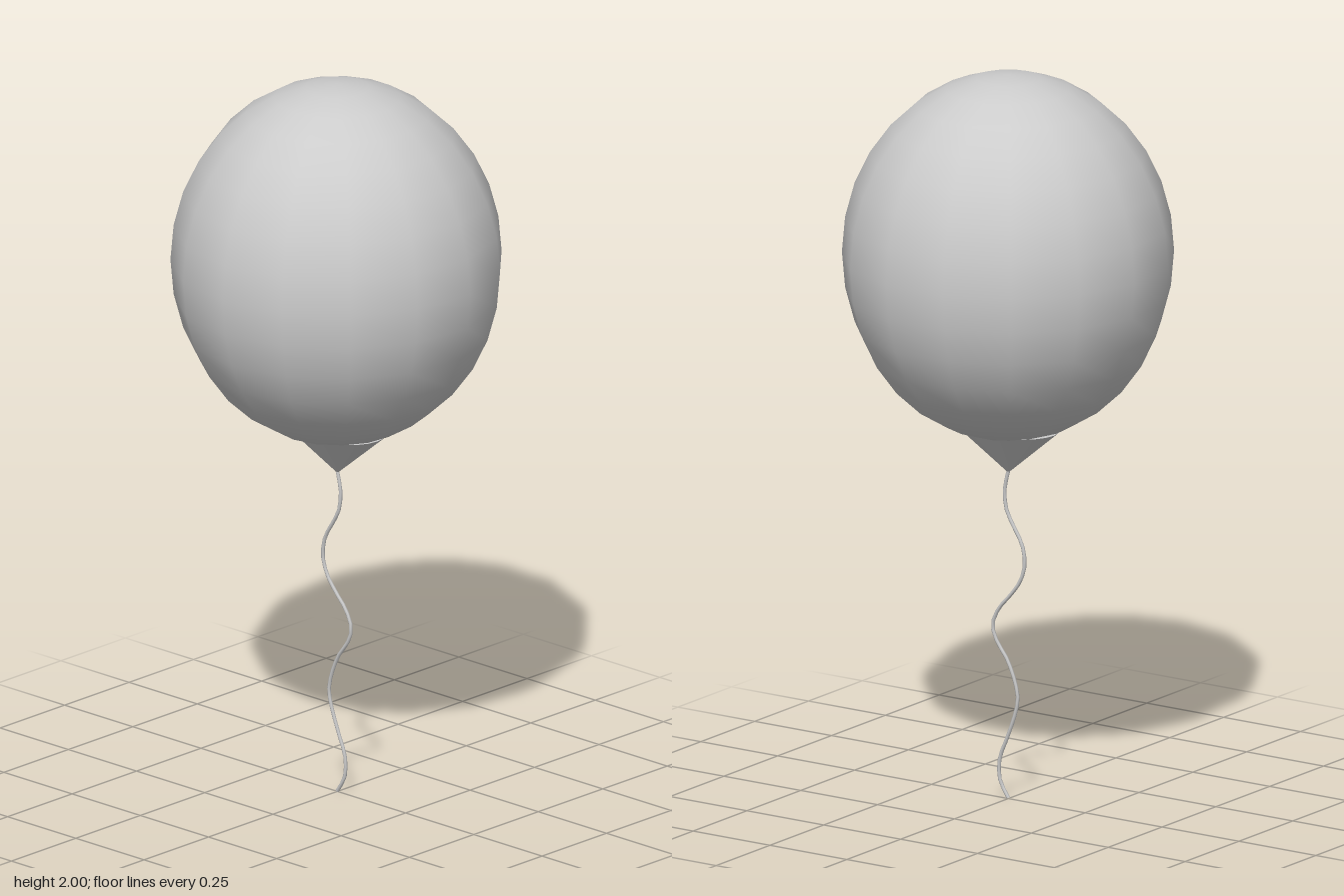
import * as THREE from 'three';

export function createModel() {
  const group = new THREE.Group();
  const grey = new THREE.MeshStandardMaterial({ color: 0xcccccc });
  const add = (name, geometry) => {
    const mesh = new THREE.Mesh(geometry, grey);
    mesh.name = name;
    group.add(mesh);
    return mesh;
  };

  // Egg-round body: 15 sides with a corner at the back
  const body = add('balloonBody', new THREE.SphereGeometry(1, 15, 16));
  body.geometry.rotateY(Math.PI / 2);
  body.geometry.scale(0.445, 0.5, 0.445);
  body.position.y = 1.5;

  // Oval neck, pointing down, its wide end sunk into the body
  const neck = add('neck', new THREE.ConeGeometry(1, 0.125, 24));
  neck.geometry.rotateX(Math.PI);
  neck.geometry.scale(0.148, 1, 0.114);
  neck.position.y = 0.9625;

  // Wavy string hanging in the x-y plane
  const path = [
    [0, 0.905], [0.012, 0.85], [0.005, 0.795], [-0.016, 0.757], [-0.046, 0.705],
    [-0.053, 0.65], [-0.037, 0.603], [-0.005, 0.561], [0.032, 0.519], [0.051, 0.471],
    [0.037, 0.429], [0.005, 0.386], [-0.021, 0.328], [-0.031, 0.28], [-0.021, 0.233],
    [0.005, 0.164], [0.028, 0.106], [0.027, 0.048], [0, 0.002],
  ].map(([x, y]) => new THREE.Vector3(x, y, 0));
  add('string', new THREE.TubeGeometry(new THREE.CatmullRomCurve3(path), 36, 0.005, 6));

  return group;
}
